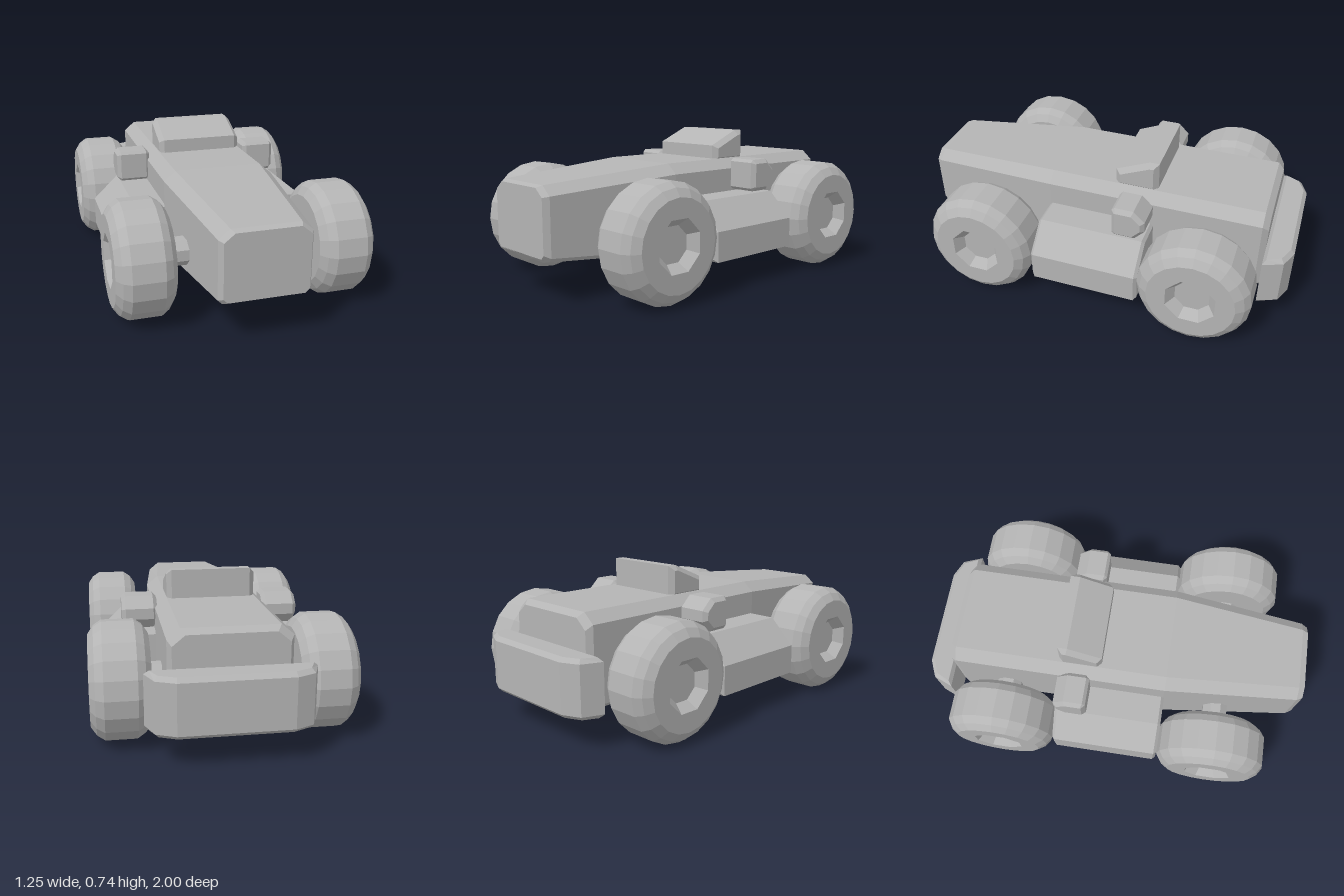
import * as THREE from 'three';

const grey = new THREE.MeshStandardMaterial({ color: 0xb4b4b4, flatShading: true });
grey.name = 'plain grey';

function add(parent, name, geometry) {
  const mesh = new THREE.Mesh(geometry.index ? geometry.toNonIndexed() : geometry, grey);
  mesh.geometry.computeVertexNormals();
  mesh.name = name;
  parent.add(mesh);
  return mesh;
}

// Chamfered slab: outline extruded along z, centred, with the end faces inset
function slab(points, length, bevel) {
  const shape = new THREE.Shape(points.map(([x, y]) => new THREE.Vector2(x, y)));
  const depth = length - 2 * bevel;
  return new THREE.ExtrudeGeometry(shape, {
    depth, bevelThickness: bevel, bevelSize: bevel, bevelOffset: -bevel, bevelSegments: 1,
  }).translate(0, 0, -depth / 2);
}

// Body: chamfered cross-sections joined from nose to tail
function bodyGeometry() {
  // z, half width, bottom, top, top chamfer width, top chamfer height
  const sections = [
    [1.0, 0.2, 0.22, 0.54, 0.05, 0.04],
    [0.97, 0.217, 0.205, 0.55, 0.055, 0.045],
    [0.28, 0.285, 0.15, 0.6, 0.06, 0.05],
    [-0.83, 0.285, 0.15, 0.6, 0.06, 0.05],
    [-0.86, 0.265, 0.165, 0.575, 0.06, 0.05],
  ];
  const positions = [], index = [], n = 8, c = 0.02;
  for (const [z, w, b, t, cx, cy] of sections) {
    const half = [[w - c, b], [w, b + c], [w, t - cy], [w - cx, t]];
    const ring = [...half, ...half.map(([x, y]) => [-x, y]).reverse()];
    for (const [x, y] of ring) positions.push(x, y, z);
  }
  const last = (sections.length - 1) * n;
  for (let i = 0; i < last; i += n) {
    for (let j = 0; j < n; j++) {
      const k = (j + 1) % n;
      index.push(i + j, i + n + j, i + n + k, i + j, i + n + k, i + k);
    }
  }
  for (let j = 1; j < n - 1; j++) {
    index.push(0, j, j + 1, last, last + j + 1, last + j);
  }
  const geometry = new THREE.BufferGeometry();
  geometry.setAttribute('position', new THREE.Float32BufferAttribute(positions, 3));
  geometry.setIndex(index);
  return geometry;
}

const lathe = (points, sides, start = 0) =>
  new THREE.LatheGeometry(points.map(([r, y]) => new THREE.Vector2(r, y)), sides, start);

const polygon = (radius, sides, start = 0) => Array.from({ length: sides }, (_, i) => {
  const a = start + (i / sides) * Math.PI * 2;
  return new THREE.Vector2(Math.sin(a) * radius, Math.cos(a) * radius);
});

// Wheel with its outer face towards +x
function makeWheel(name) {
  const wheel = new THREE.Group();
  wheel.name = name;
  const sides = 20;
  const tyre = lathe([[0, -0.14], [0.22, -0.14], [0.26, -0.113], [0.285, -0.075],
    [0.285, 0.075], [0.26, 0.113], [0.22, 0.14]], sides);
  add(wheel, 'tyre', tyre.rotateZ(-Math.PI / 2));

  // Side wall with an eight-sided opening, and the sunken hub inside it
  const wall = new THREE.Shape(polygon(0.22, sides));
  wall.holes.push(new THREE.Path(polygon(0.132, 8, Math.PI / 8)));
  const wallGeometry = new THREE.ShapeGeometry(wall).rotateX(-Math.PI / 2).translate(0, 0.14, 0);
  add(wheel, 'sideWall', wallGeometry.rotateZ(-Math.PI / 2));
  const hub = lathe([[0.132, 0.14], [0.092, 0.09], [0, 0.09]], 8, Math.PI / 8);
  add(wheel, 'hub', hub.rotateZ(-Math.PI / 2));
  return wheel;
}

export function createModel() {
  const car = new THREE.Group();
  car.name = 'racingCar';

  add(car, 'body', bodyGeometry());

  // Headrest: wedge side profile (-z, y) extruded across the car
  const headrest = slab([[0.06, 0.58], [0.285, 0.58], [0.285, 0.745],
    [0.235, 0.745], [0.06, 0.67]], 0.45, 0.025);
  add(car, 'headrest', headrest.rotateY(Math.PI / 2));

  // Rear bumper: plan outline (x, -z) extruded upwards
  const bumper = slab([[-0.39, 0.86], [0.39, 0.86], [0.35, 0.96], [0.26, 1],
    [-0.26, 1], [-0.35, 0.96]], 0.28, 0.02);
  add(car, 'rearBumper', bumper.rotateX(-Math.PI / 2).translate(0, 0.29, 0));

  for (const side of [1, -1]) {
    const label = side > 0 ? 'left' : 'right';
    const turn = side > 0 ? 0 : Math.PI;

    // Side pods
    const pod = slab([[0.25, 0.15], [0.57, 0.15], [0.57, 0.3],
      [0.435, 0.43], [0.25, 0.43]], 0.57, 0.015);
    add(car, label + 'SidePod', pod).rotation.y = turn;

    // Mirrors: side profile (-z, y)
    const mirror = slab([[0.112, 0.455], [0.127, 0.44], [0.23, 0.44], [0.283, 0.495],
      [0.283, 0.55], [0.225, 0.605], [0.127, 0.605], [0.112, 0.59]], 0.18, 0.02);
    add(car, label + 'Mirror', mirror.rotateY(Math.PI / 2)).position.x = side * 0.363;

    // Wheels and axle stubs
    for (const end of [1, -1]) {
      const place = label + (end > 0 ? 'Front' : 'Rear');
      const wheel = makeWheel(place + 'Wheel');
      wheel.position.set(side * 0.485, 0.287, end * 0.57);
      wheel.rotation.y = turn;
      car.add(wheel);
      const stub = new THREE.CylinderGeometry(0.07, 0.07, 0.13, 8, 1, false, Math.PI / 8);
      const axle = add(car, place + 'Axle', stub.rotateZ(Math.PI / 2));
      axle.position.set(side * 0.3, 0.295, end * 0.57);
    }
  }
  return car;
}
